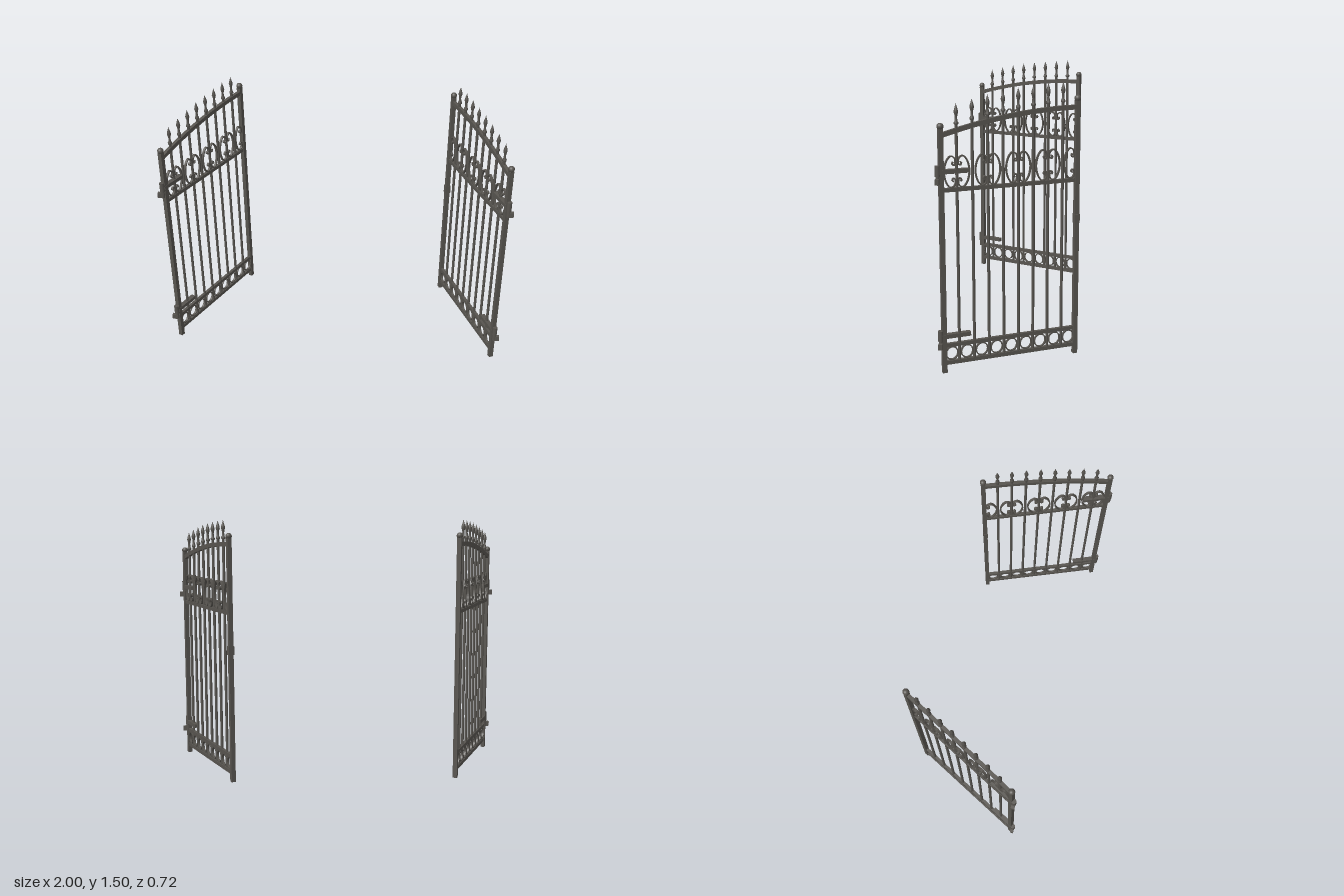
import * as THREE from 'three';

const material = new THREE.MeshStandardMaterial({ color: 0x57544f, side: THREE.DoubleSide });
const HINGE = new THREE.Vector2(0.961, 0.33), LATCH = new THREE.Vector2(0.648, -0.345);
const L = HINGE.distanceTo(LATCH);
const GAP = L / 9;

// In a leaf: x runs from hinge post to latch post, z is its thickness.
function add(parent, name, geometry, x = 0, y = 0, z = 0) {
  const mesh = new THREE.Mesh(geometry, material);
  mesh.name = name;
  mesh.position.set(x, y, z);
  parent.add(mesh);
}
const box = (w, h, d) => new THREE.BoxGeometry(w, h, d);
const archY = (x) => 1.363 - 0.108 * (1 - x / L) ** 2;

function extrude(shape, depth, curveSegments = 20) {
  const g = new THREE.ExtrudeGeometry(shape, { depth, bevelEnabled: false, curveSegments });
  return g.translate(0, 0, -depth / 2);
}

// Flat strip of even width that follows a plane curve
function ribbon(curve, width, depth, n) {
  const a = [], b = [];
  for (let i = 0; i <= n; i++) {
    const p = curve.getPoint(i / n), t = curve.getTangent(i / n);
    const off = new THREE.Vector2(-t.y, t.x).multiplyScalar(width / 2);
    a.push(p.clone().add(off));
    b.unshift(p.clone().sub(off));
  }
  return extrude(new THREE.Shape([...a, ...b]), depth);
}

// C-scroll with hooked ends, opening toward its picket
function scrollGeometry(side) {
  const half = [[0.018, 0.05], [0.024, 0.044], [0.019, 0.034], [0.009, 0.039],
    [0.008, 0.06], [0.017, 0.075], [0.036, 0.079], [0.057, 0.05]];
  const pts = [...half, [0.067, 0], ...half.map(([x, y]) => [x, -y]).reverse()];
  const curve = new THREE.SplineCurve(pts.map(([x, y]) => new THREE.Vector2(side * x, y)));
  return ribbon(curve, 0.007, 0.014, 80);
}

function ringGeometry() {
  const ring = new THREE.Shape().absellipse(0, 0, 0.035, 0.038, 0, Math.PI * 2);
  ring.holes.push(new THREE.Path().absellipse(0, 0, 0.029, 0.032, 0, Math.PI * 2, true));
  return extrude(ring, 0.013, 24);
}

// Collar, neck and spear point on top of a picket
const finialGeometry = new THREE.LatheGeometry([
  [0.008, 0], [0.008, 0.028], [0.012, 0.031], [0.012, 0.041], [0.008, 0.045], [0.006, 0.065],
  [0.008, 0.078], [0.012, 0.092], [0.009, 0.106], [0.004, 0.122], [0, 0.136],
].map(([r, y]) => new THREE.Vector2(r, y)), 12);

function post(leaf, name, x, top) {
  add(leaf, name, box(0.025, top, 0.025), x, top / 2);
  add(leaf, name + 'Ball', new THREE.SphereGeometry(0.018, 20, 14), x, top + 0.011);
}

function createLeaf(withLock) {
  const leaf = new THREE.Group();
  post(leaf, 'hingePost', 0, 1.29);
  post(leaf, 'latchPost', L, 1.398);

  // Rails
  for (const [name, y, h] of [['bottomRail', 0.053, 0.021], ['lowerRail', 0.149, 0.02], ['middleRail', 0.977, 0.02]])
    add(leaf, name, box(L, h, 0.018), L / 2, y);
  const arch = [];
  for (let i = 0; i <= 8; i++) arch.push(new THREE.Vector2(L * i / 8, archY(L * i / 8)));
  add(leaf, 'archedRail', ribbon(new THREE.SplineCurve(arch), 0.024, 0.02, 32));

  // Pickets with spear tops
  const picketGroup = new THREE.Group();
  picketGroup.name = 'pickets';
  leaf.add(picketGroup);
  for (let i = 1; i <= 8; i++) {
    const x = i * GAP, top = archY(x);
    add(picketGroup, 'picket', new THREE.CylinderGeometry(0.008, 0.008, top - 0.05, 12), x, (top + 0.05) / 2);
    add(picketGroup, 'spearTop', finialGeometry, x, top);
  }

  // Rings between the two bottom rails
  const ring = ringGeometry();
  for (let i = 0; i < 9; i++) add(leaf, 'ring', ring, (i + 0.5) * GAP, 0.102);

  // Scroll pairs on every second picket, with a half pair at the latch post
  const scrolls = { '-1': scrollGeometry(-1), 1: scrollGeometry(1) };
  for (let i = 1; i <= 9; i += 2)
    for (const side of [-1, 1])
      if (i < 9 || side < 0) add(leaf, 'scroll', scrolls[side], i * GAP - (i === 9 ? 0.008 : 0), 1.068);

  // Hinge straps clasping the frame
  for (const y of [0.2, 1.072]) add(leaf, 'hingeStrap', box(0.155, 0.022, 0.028), 0.066, y);

  // Lock case on the latch post
  if (withLock) add(leaf, 'lockCase', box(0.028, 0.05, 0.033), L, 0.766);
  return leaf;
}

function createSide(name, withLock) {
  const side = new THREE.Group();
  side.name = name;
  const leaf = createLeaf(withLock);
  leaf.name = 'gateLeaf';
  leaf.position.set(HINGE.x, 0, HINGE.y);
  leaf.rotation.y = Math.atan2(HINGE.y - LATCH.y, LATCH.x - HINGE.x);
  side.add(leaf);

  // Hinge barrels and the pins that go out to the wall
  for (const y of [0.2, 1.072]) {
    add(side, 'hingeBarrel', new THREE.CylinderGeometry(0.014, 0.014, 0.056, 16), 0.971, y + 0.005, 0.346);
    add(side, 'hingePin', new THREE.CylinderGeometry(0.011, 0.011, 0.044, 16), 0.971, y - 0.04, 0.346);
    add(side, 'wallBracket', box(0.035, 0.03, 0.02), 0.9825, y - 0.047, 0.346);
  }
  return side;
}

export function createModel() {
  const model = new THREE.Group();
  model.name = 'gate';
  const right = createSide('rightGate', false);
  right.scale.x = -1;
  model.add(createSide('leftGate', true), right);
  return model;
}
